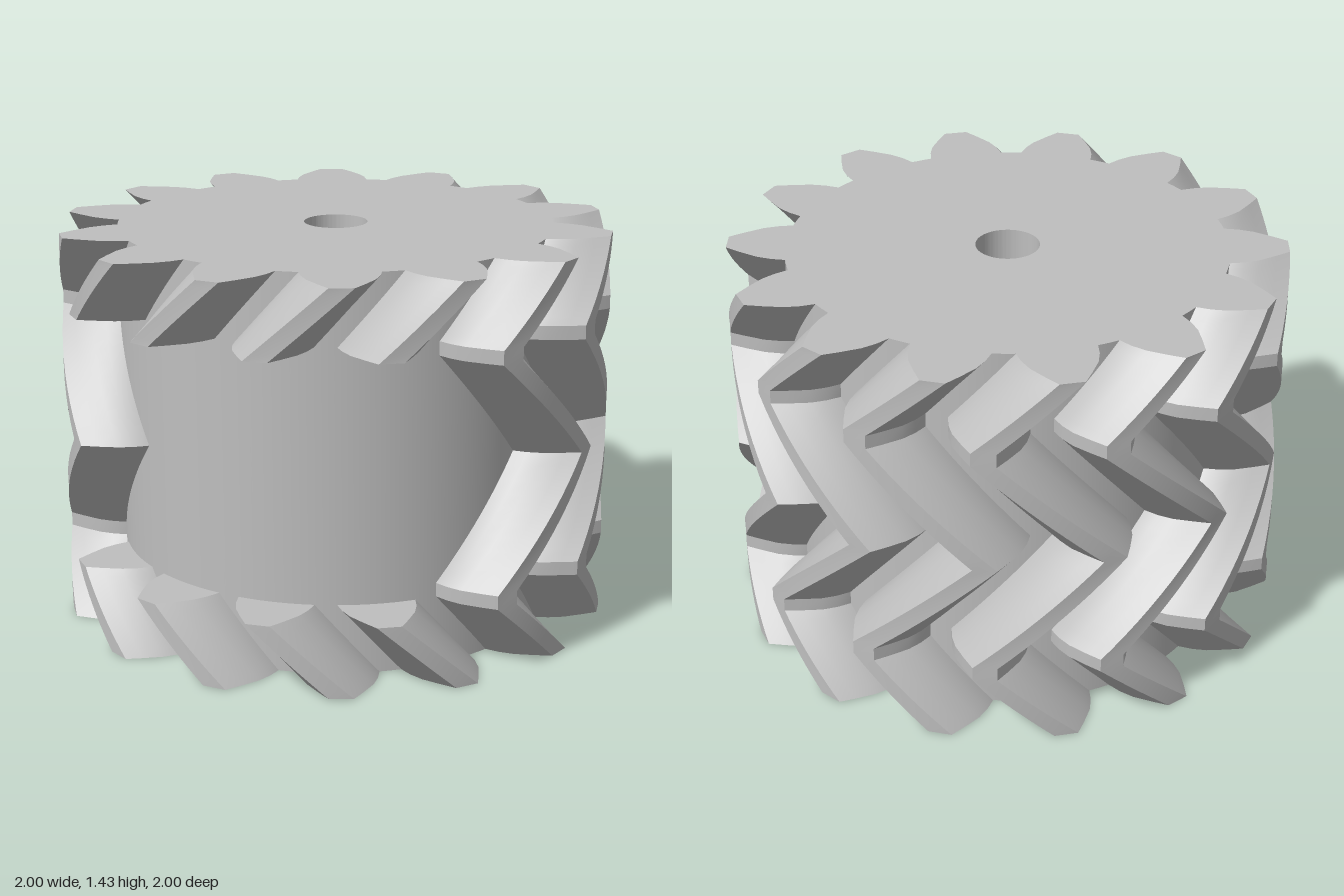
import * as THREE from 'three';
import { toCreasedNormals } from 'three/addons/utils/BufferGeometryUtils.js';

const TEETH = 14;
const HEIGHT = 1.43;
const ROOT = 0.79;
const BORE = 0.115;
const rad = THREE.MathUtils.degToRad;

// Tooth flank: [radius, half angle in degrees], from root to tip
const FLANK = [[0.775, 10.1], [0.79, 10], [0.84, 8.9], [0.89, 7.3], [0.95, 4.6], [1, 2.45]];

// Zigzag of a tooth: [height, twist in degrees]
const LOWER = [[0, -8.4], [0.255, 8]];
const MIDDLE = [[0.305, 8], [0.715, -17.8], [1.125, 8]];
const UPPER = [[1.175, 8], [HEIGHT, -8.4]];

// Subdivide the zigzag so each run follows a helix
function refine(path, steps = 10) {
  const out = [path[0]];
  for (let i = 1; i < path.length; i++) {
    const [y0, a0] = path[i - 1], [y1, a1] = path[i];
    const n = a0 === a1 ? 1 : steps;
    for (let s = 1; s <= n; s++) {
      const t = s / n;
      out.push([y0 + (y1 - y0) * t, a0 + (a1 - a0) * t]);
    }
  }
  return out;
}

// Sweep the tooth section along a zigzag and cap both ends
function toothGeometry(path) {
  const levels = refine(path);
  const section = [
    ...FLANK.map(([r, a]) => [r, -a]),
    ...FLANK.slice().reverse().map(([r, a]) => [r, a]),
  ];
  const n = section.length;
  const pos = [], idx = [];
  for (const [y, twist] of levels) {
    for (const [r, a] of section) {
      const phi = rad(a + twist);
      pos.push(r * Math.cos(phi), y, r * Math.sin(phi));
    }
  }
  for (let k = 0; k < levels.length - 1; k++) {
    for (let i = 0; i < n - 1; i++) {
      const a = k * n + i, b = a + 1, c = a + n, d = b + n;
      idx.push(a, c, b, b, c, d);
    }
  }
  const top = (levels.length - 1) * n;
  for (let i = 0; i < FLANK.length - 1; i++) {
    const l0 = i, l1 = i + 1, r0 = n - 1 - i, r1 = n - 2 - i;
    idx.push(top + l0, top + r0, top + l1, top + r0, top + r1, top + l1);
    idx.push(l0, l1, r0, r0, l1, r1);
  }
  const g = new THREE.BufferGeometry();
  g.setAttribute('position', new THREE.Float32BufferAttribute(pos, 3));
  g.setIndex(idx);
  return toCreasedNormals(g, 0.5);
}

export function createModel() {
  const group = new THREE.Group();
  group.name = 'herringboneGear';
  const steel = new THREE.MeshStandardMaterial({ color: 0xbfbfbf });
  steel.name = 'grey steel';

  // Core drum with a through bore
  const ring = [[BORE, 0], [ROOT, 0], [ROOT, HEIGHT], [BORE, HEIGHT], [BORE, 0]];
  const lathe = new THREE.LatheGeometry(ring.map(([x, y]) => new THREE.Vector2(x, y)), 168);
  const core = new THREE.Mesh(toCreasedNormals(lathe, 0.5), steel);
  core.name = 'core';
  group.add(core);

  const full = toothGeometry([...LOWER, ...MIDDLE, ...UPPER]);
  const lower = toothGeometry(LOWER);
  const upper = toothGeometry(UPPER);

  // Teeth 1 to 4 have their middle run cut away at the front
  for (let i = 0; i < TEETH; i++) {
    const cut = i >= 1 && i <= 4;
    const parts = cut ? [['lowerTooth', lower], ['upperTooth', upper]] : [['zigzagTooth', full]];
    for (const [name, geometry] of parts) {
      const tooth = new THREE.Mesh(geometry, steel);
      tooth.name = name + i;
      tooth.rotation.y = -i * 2 * Math.PI / TEETH;
      group.add(tooth);
    }
  }
  return group;
}
